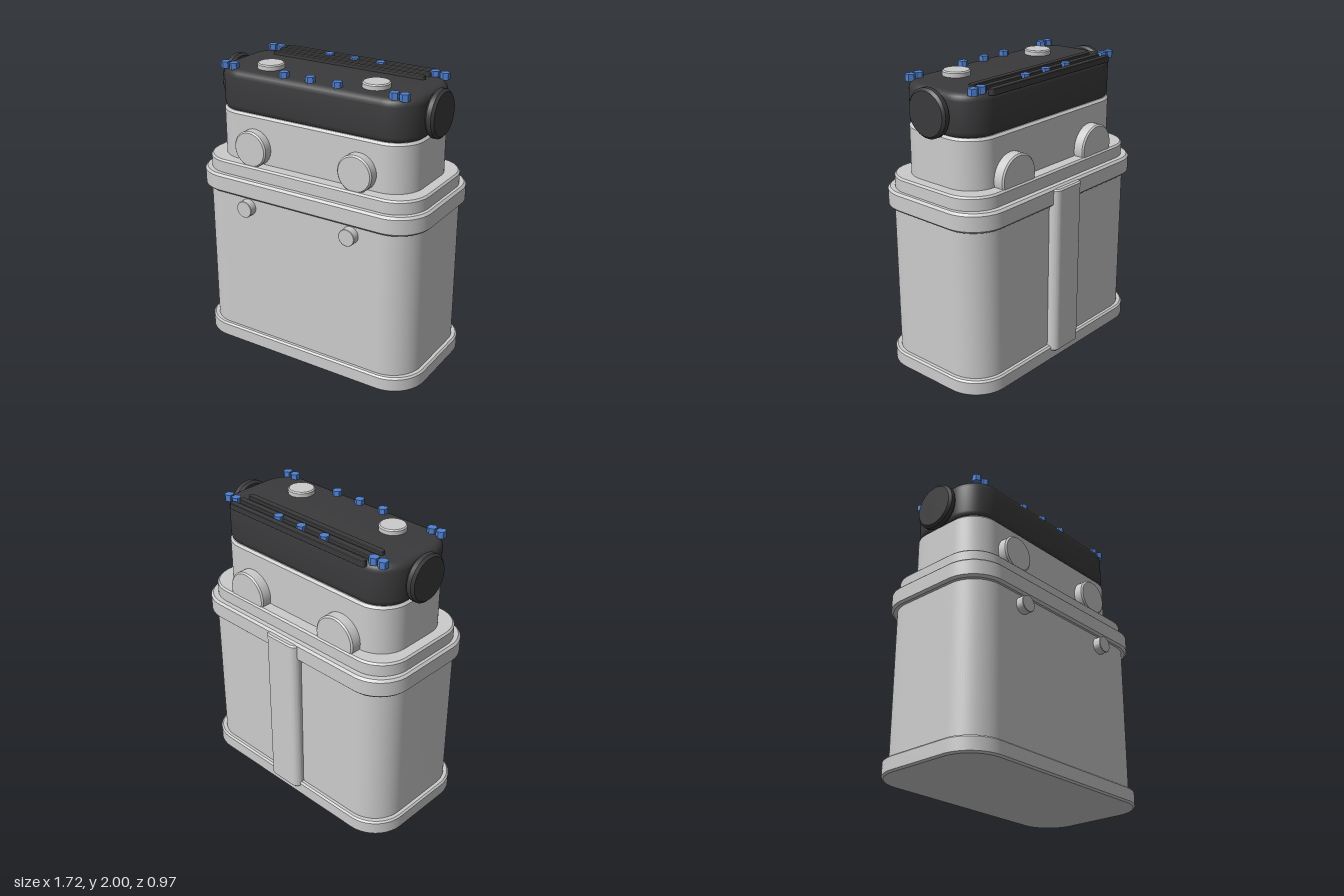
import * as THREE from 'three';
import { toCreasedNormals } from 'three/addons/utils/BufferGeometryUtils.js';

const grey = new THREE.MeshStandardMaterial({ color: 0xcccccc });
const dark = new THREE.MeshStandardMaterial({ color: 0x3a3a3c });
const blue = new THREE.MeshStandardMaterial({ color: 0x5080d0 });

// Plan outline: rectangle with rounded corners
function roundedRect(w, d, r) {
  const x = w / 2, y = d / 2, s = new THREE.Shape();
  s.moveTo(-x + r, -y);
  s.lineTo(x - r, -y);
  s.absarc(x - r, -y + r, r, -Math.PI / 2, 0);
  s.lineTo(x, y - r);
  s.absarc(x - r, y - r, r, 0, Math.PI / 2);
  s.lineTo(-x + r, y);
  s.absarc(-x + r, y - r, r, Math.PI / 2, Math.PI);
  s.lineTo(-x, -y + r);
  s.absarc(-x + r, -y + r, r, Math.PI, Math.PI * 1.5);
  return s;
}

export function createModel() {
  const model = new THREE.Group();

  const add = (name, geometry, material, x, y, z) => {
    const mesh = new THREE.Mesh(geometry, material);
    mesh.name = name;
    mesh.position.set(x, y, z);
    model.add(mesh);
    return mesh;
  };

  // Upright slab from y0 to y1, spanning zBack to zFront, with bevelled rims
  const slab = (name, width, zBack, zFront, radius, y0, y1, bevel, steps = 1, material = grey) => {
    const geometry = new THREE.ExtrudeGeometry(roundedRect(width, zFront - zBack, radius), {
      depth: y1 - y0 - 2 * bevel, bevelThickness: bevel, bevelSize: bevel,
      bevelOffset: -bevel, bevelSegments: steps, curveSegments: 12,
    });
    geometry.translate(0, 0, bevel).rotateX(-Math.PI / 2);
    return add(name, toCreasedNormals(geometry, 0.6), material, 0, y0, (zBack + zFront) / 2);
  };

  // Round disc standing on y = 0 with a chamfered outer edge
  const disc = (radius, height, chamfer, bothEnds = false) => {
    const c = bothEnds ? chamfer : 0;
    const points = [[0, 0], [radius - c, 0], [radius, c], [radius, height - chamfer],
      [radius - chamfer, height], [0, height]]
      .filter((p, i) => bothEnds || i !== 1)
      .map(([x, y]) => new THREE.Vector2(x, y));
    return toCreasedNormals(new THREE.LatheGeometry(points, 40), 0.6);
  };

  // Lower housing
  slab('baseFlange', 1.72, -0.453, 0.463, 0.24, 0, 0.11, 0.012);
  slab('housing', 1.65, -0.42, 0.432, 0.22, 0.05, 1.2, 0.01);
  slab('topFlange', 1.72, -0.453, 0.463, 0.24, 1.14, 1.27, 0.015);
  slab('deck', 1.65, -0.405, 0.42, 0.22, 1.25, 1.36, 0.012);
  slab('neck', 1.49, -0.32, 0.335, 0.2, 1.34, 1.69, 0.015);
  slab('backRib', 0.275, -0.485, -0.38, 0.05, 0.07, 1.257, 0.01);

  // Dark lid
  slab('lid', 1.49, -0.312, 0.328, 0.2, 1.675, 1.965, 0.05, 5, dark);
  for (const z of [-0.16, -0.24, -0.32])
    slab('lidRail', 1.17, z - 0.022, z + 0.022, 0.02, 1.945, 1.988, 0.003, 1, dark);

  // Paired ports, knobs and caps
  for (const side of [-1, 1]) {
    add('frontPort', disc(0.125, 0.09, 0.01), grey, side * 0.4, 1.47, 0.312).rotation.x = Math.PI / 2;
    add('backPort', disc(0.155, 0.09, 0.01), grey, side * 0.4, 1.4, -0.305).rotation.x = -Math.PI / 2;
    add('frontKnob', disc(0.058, 0.057, 0.003), grey, side * 0.4, 1.07, 0.43).rotation.x = Math.PI / 2;
    add('lidCap', disc(0.09, 0.05, 0.008), grey, side * 0.4, 1.95, 0.135);
    add('endCap', disc(0.158, 0.062, 0.016, true), dark, side * 0.744, 1.82, 0.003)
      .rotation.z = -side * Math.PI / 2;
  }

  // Hexagonal lid bolts in two rows
  const boltHead = new THREE.CylinderGeometry(0.033, 0.033, 0.045, 6).toNonIndexed();
  boltHead.computeVertexNormals();
  for (const z of [-0.265, 0.27])
    for (const x of [-0.67, -0.6, -0.2, 0, 0.2, 0.6, 0.67])
      add('lidBolt', boltHead, blue, x, 1.9775, z);

  return model;
}
